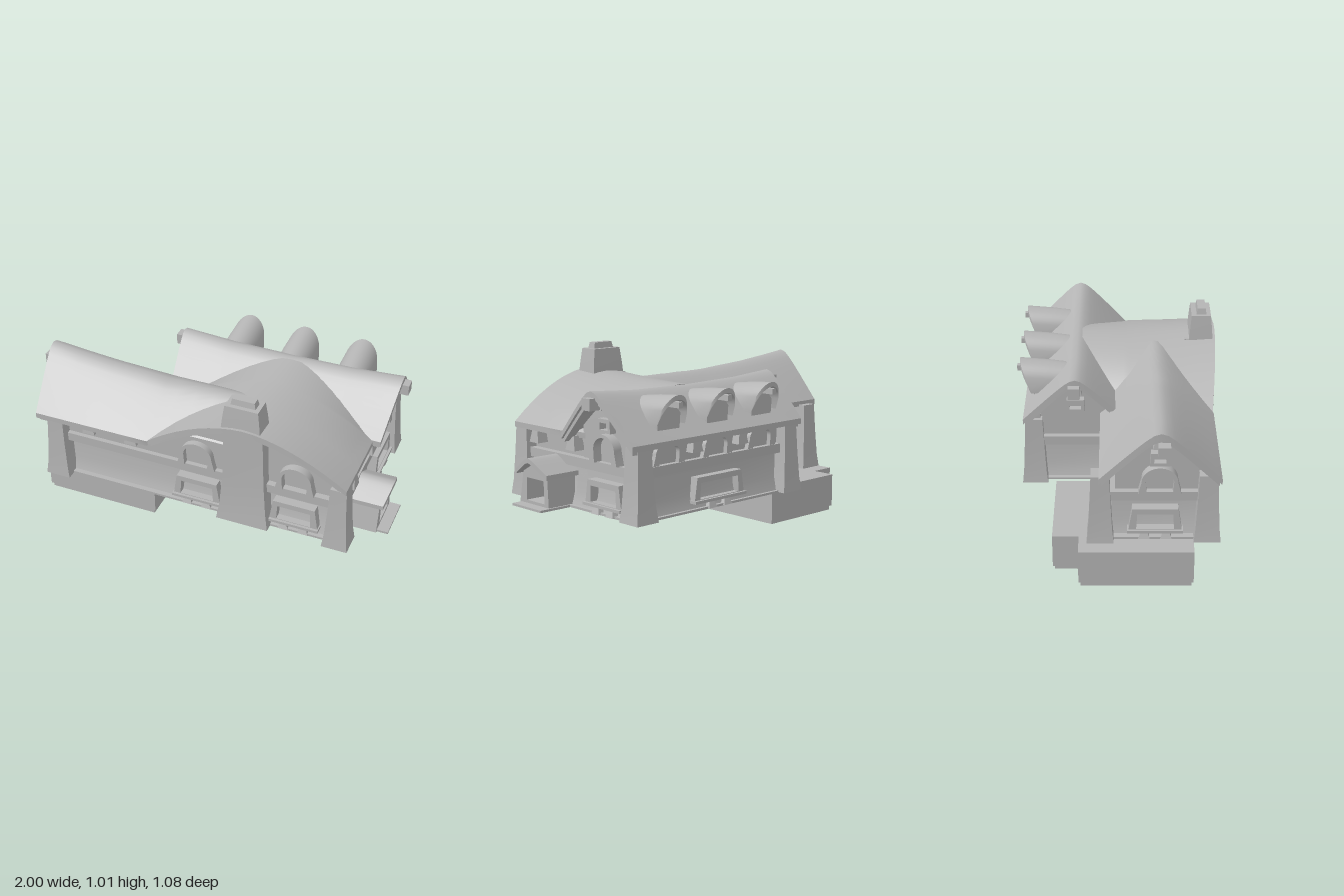
import * as THREE from 'three';
import { toCreasedNormals } from 'three/addons/utils/BufferGeometryUtils.js';

const stone = new THREE.MeshStandardMaterial({ color: 0xb4b4b4, side: THREE.DoubleSide });
stone.name = 'plain grey';

export function createModel() {
  const root = new THREE.Group();
  root.name = 'cottage';

  const add = (name, geo, parent = root) => {
    const m = new THREE.Mesh(geo, stone);
    m.name = name;
    parent.add(m);
    return m;
  };
  const box = (name, x0, x1, y0, y1, z0, z1, parent) =>
    add(name, new THREE.BoxGeometry(x1 - x0, y1 - y0, z1 - z0)
      .translate((x0 + x1) / 2, (y0 + y1) / 2, (z0 + z1) / 2), parent);

  // skin a list of equal rings and close both ends
  function loft(rings, crease = 0.6) {
    const n = rings[0].length, idx = [];
    for (let r = 0; r < rings.length - 1; r++)
      for (let i = 0; i < n; i++) {
        const a = r * n + i, b = r * n + (i + 1) % n;
        idx.push(a, b, b + n, a, b + n, a + n);
      }
    for (const o of [0, (rings.length - 1) * n])
      for (let i = 0; i < n / 2 - 1; i++)
        idx.push(o + i, o + n - 1 - i, o + n - 2 - i, o + i, o + n - 2 - i, o + i + 1);
    const g = new THREE.BufferGeometry();
    g.setAttribute('position', new THREE.Float32BufferAttribute(rings.flat(2), 3));
    g.setIndex(idx);
    return toCreasedNormals(g, crease);
  }

  // square post; levels are [y, half width, half depth]
  const taper = (name, cx, cz, levels, parent) => add(name, loft(levels.map(([y, w, d]) =>
    [[cx - w, y, cz - d], [cx - w, y, cz + d], [cx + w, y, cz + d], [cx + w, y, cz - d]])), parent);

  // roof fall from ridge (0) to eave (1): soft-ridged slopes, a bow, or a half round
  const A = 0.15, K = Math.sqrt(1 + A * A) - A;
  const pitched = s => (Math.sqrt(s * s + A * A) - A) / K;
  const bowed = s => Math.pow(Math.abs(s), 1.8);
  const round = s => 1 - Math.sqrt(Math.max(0, 1 - s * s));

  // curved roof shell; stations are [t, lift, width scale, front limit, ridge flare]
  function roof(name, o, stations) {
    const N = 18, { axis, c, hw, ridge, eave, fall, thick = 0.03 } = o;
    const rings = stations.map(([t, lift = 0, w = 1, lim = 1, flare = 0]) => {
      const outer = [], inner = [];
      for (let i = 0; i <= N; i++) {
        const s = -1 + (1 + lim) * i / N, f = fall(s);
        const u = c + s * hw * w, y = ridge - (ridge - eave) * f + lift * (1 - f);
        const e = t + flare * (1 - f);
        outer.push(axis === 'x' ? [e, y, u] : [u, y, e]);
        inner.unshift(axis === 'x' ? [e, y - thick, u] : [u, y - thick, e]);
      }
      return outer.concat(inner);
    });
    return add(name, loft(rings, 0.75), root);
  }

  // solid gabled storey below a roof
  function gableBody(name, o, halfBody, t0, t1, y0) {
    const pts = [new THREE.Vector2(-halfBody, y0)];
    for (let i = 0; i <= 12; i++) {
      const u = -halfBody + 2 * halfBody * i / 12;
      pts.push(new THREE.Vector2(u, o.ridge - (o.ridge - o.eave) * o.fall(u / o.hw) - 0.025));
    }
    pts.push(new THREE.Vector2(halfBody, y0));
    const g = new THREE.ExtrudeGeometry(new THREE.Shape(pts), { depth: t1 - t0, bevelEnabled: false });
    const m = add(name, g);
    if (o.axis === 'x') { m.rotation.y = Math.PI / 2; m.position.set(t0, 0, o.c); }
    else m.position.set(o.c, 0, t0);
  }

  const front = { axis: 'x', c: 0.205, hw: 0.3, ridge: 0.83, eave: 0.618, fall: pitched };
  const back = { axis: 'x', c: -0.225, hw: 0.275, ridge: 0.835, eave: 0.618, fall: pitched };
  const cross = { axis: 'z', c: 0.27, hw: 0.55, ridge: 0.835, eave: 0.618, fall: bowed };

  // roofs: the front wing is mitred where the broad cross gable meets it
  const valley = x => {
    const f = bowed(Math.min(1, (cross.c - x) / cross.hw));
    return Math.sqrt((A + K * f) ** 2 - A * A);
  };
  const frontStations = [[-0.94, 0.06, 1, 1, -0.03], [-0.8, 0.04], [-0.6, 0.02], [-0.4, 0.008], [-0.28, 0]];
  for (const x of [-0.2, -0.1, 0, 0.1, 0.2]) frontStations.push([x, 0, 1, valley(x)]);
  roof('frontWingRoof', front, frontStations);
  roof('backWingRoof', back, [[-0.355, 0.025, 1, 1, -0.02], [-0.1, 0.006], [0.25, 0], [0.6, 0.006], [0.86, 0.027, 1, 1, 0.03]]);
  roof('crossGableRoof', cross, [[0.5, 0.027, 1, 1, 0.035], [0.3, 0.01], [0.06, 0], [0.03, 0, 0.95], [-0.2, 0, 0.8]]);

  // heavy barge boards under the open gable ends
  const board = o => ({ ...o, thick: 0.025, hw: o.hw - 0.012, ridge: o.ridge - 0.027, eave: o.eave - 0.02 });
  roof('frontWingBargeBoard', board(front), [[-0.925, 0.055, 1, 1, -0.025], [-0.88, 0.05]]);
  for (const [a, b, f] of [[0.85, 0.8, 0.022], [-0.345, -0.31, -0.015]])
    roof('backWingBargeBoard', board(back), [[a, 0.024, 1, 1, f], [b, 0.02]]);
  roof('crossBargeBoard', board(cross), [[0.485, 0.024, 1, 1, 0.028], [0.45, 0.022]]);

  // upper storeys, battered lower walls and floor
  gableBody('frontWingUpperStorey', front, 0.22, -0.82, 0.3, 0.46);
  gableBody('backWingUpperStorey', back, 0.205, -0.28, 0.77, 0.46);
  gableBody('crossGableUpperStorey', cross, 0.49, -0.1, 0.415, 0.46);
  taper('frontWingLowerWall', -0.025, 0.185, [[0.225, 0.815, 0.25], [0.3, 0.79, 0.225], [0.46, 0.78, 0.215]]);
  taper('backWingLowerWall', 0.25, -0.19, [[0.225, 0.54, 0.265], [0.3, 0.515, 0.24], [0.46, 0.505, 0.23]]);
  box('frontFloor', -0.87, 0.81, 0.222, 0.234, -0.1, 0.46);
  box('backFloor', -0.31, 0.81, 0.222, 0.234, -0.47, -0.1);
  box('porchStep', 0.8, 1.0, 0.222, 0.234, 0.05, 0.29);
  box('backWallPlate', -0.3, 0.78, 0.58, 0.625, -0.455, -0.41);

  // floor bands around the house
  box('frontBand', -0.8, 0.78, 0.44, 0.49, 0.4, 0.45);
  box('leftBand', 0.75, 0.8, 0.44, 0.49, -0.42, 0.42);
  box('backBand', -0.3, 0.78, 0.44, 0.49, -0.46, -0.4);
  box('rightBackBand', -0.31, -0.26, 0.44, 0.49, -0.43, -0.03);
  box('rightFrontBand', -0.85, -0.8, 0.44, 0.49, -0.05, 0.44);
  box('rearFrontWingBand', -0.82, -0.28, 0.44, 0.49, -0.07, -0.02);

  // flared corner pillars
  for (const [x, z] of [[-0.835, 0.445], [0.775, 0.445], [-0.845, -0.09], [-0.28, -0.445], [0.775, -0.445]])
    taper('cornerPillar', x, z, [[0.225, 0.07, 0.068], [0.3, 0.06, 0.06], [0.45, 0.05, 0.052], [0.598, 0.044, 0.045]]);

  // chimney: broad breast on the gable, stack and pot above
  taper('chimneyBreast', 0.26, 0.43, [[0.225, 0.145, 0.08], [0.32, 0.13, 0.07], [0.5, 0.115, 0.062], [0.84, 0.105, 0.065]]);
  taper('chimneyStack', 0.255, 0.455, [[0.82, 0.108, 0.066], [0.9, 0.1, 0.06], [0.975, 0.09, 0.053]]);
  taper('chimneyPot', 0.255, 0.457, [[0.97, 0.068, 0.028], [1.008, 0.06, 0.022]]);

  // ridge pegs
  for (const [x, z] of [[-0.965, 0.22], [-0.38, -0.23], [0.895, -0.23]])
    box('ridgePeg', x - 0.035, x + 0.03, 0.77, 0.83, z - 0.03, z + 0.03);

  // wall faces: local x runs along the wall, local z points outwards
  const face = (name, x, z, turn) => {
    const g = new THREE.Group();
    g.name = name;
    g.position.set(x, 0, z);
    g.rotation.y = turn * Math.PI / 2;
    root.add(g);
    return g;
  };
  const shape = (pts, C = THREE.Shape) => new C(pts.map(p => new THREE.Vector2(...p)));
  const extrude = (s, depth) => new THREE.ExtrudeGeometry(s, { depth, bevelEnabled: false, curveSegments: 12 });

  // splayed picture window with sill and feet
  function lowWindow(f, x, hw = 0.125) {
    const s = shape([[-hw - 0.01, 0.265], [hw + 0.01, 0.265], [hw - 0.01, 0.395], [-hw + 0.01, 0.395]]);
    s.holes.push(shape([[-hw + 0.03, 0.28], [-hw + 0.035, 0.365], [hw - 0.035, 0.365], [hw - 0.03, 0.28]], THREE.Path));
    add('windowFrame', extrude(s, 0.075), f).position.set(x, 0, -0.03);
    box('windowSill', x - hw - 0.015, x + hw + 0.015, 0.262, 0.277, -0.03, 0.06, f);
    for (const d of [-0.055, 0.055])
      taper('sillFoot', x + d, 0.01, [[0.225, 0.03, 0.045], [0.265, 0.013, 0.03]], f);
  }
  // round-headed surround with thick legs
  function archWindow(f, x, height = 1, depth = 0.05) {
    const s = new THREE.Shape();
    s.moveTo(-0.107, 0); s.lineTo(-0.09, 0.07);
    s.absellipse(0, 0.07, 0.09, 0.08, Math.PI, 0, true);
    s.lineTo(0.107, 0); s.lineTo(0.065, 0); s.lineTo(0.07, 0.07);
    s.absellipse(0, 0.07, 0.07, 0.063, 0, Math.PI, false);
    s.lineTo(-0.065, 0);
    const m = add('archSurround', toCreasedNormals(extrude(s, depth), 0.6), f);
    m.position.set(x, 0.488, 0);
    m.scale.y = height;
  }
  const corbel = (f, x, y = 0.53, z = 0.02) =>
    taper('eaveCorbel', x, z, [[y, 0.037, 0.035], [y + 0.075, 0.02, 0.025]], f);
  // small window and bracket high in a gable
  function gablePeak(f) {
    const s = shape([[-0.05, 0.645], [0.05, 0.645], [0.045, 0.715], [-0.045, 0.715]]);
    s.holes.push(shape([[-0.03, 0.66], [-0.028, 0.695], [0.028, 0.695], [0.03, 0.66]], THREE.Path));
    add('gableWindow', extrude(s, 0.04), f);
    corbel(f, 0, 0.765, 0.05);
  }

  const frontFace = face('frontDetails', 0, 0.41, 0);
  for (const x of [-0.02, 0.53]) { lowWindow(frontFace, x); archWindow(frontFace, x); }
  for (const x of [-0.65, -0.4]) corbel(frontFace, x);

  const leftFace = face('leftGableDetails', 0.77, -0.225, 1);
  lowWindow(leftFace, -0.005, 0.13);
  archWindow(leftFace, 0);
  gablePeak(leftFace);
  for (const x of [-0.555, -0.25]) corbel(leftFace, x, 0.525);

  const rightFace = face('rightGableDetails', -0.82, 0.205, 3);
  archWindow(rightFace, 0);
  gablePeak(rightFace);
  lowWindow(rightFace, -0.02);
  gablePeak(face('backWingRightDetails', -0.28, -0.225, 3));

  const backFace = face('backDetails', 0.24, -0.425, 2);
  lowWindow(backFace, 0, 0.17);
  for (const x of [-0.34, 0, 0.33]) archWindow(backFace, x, 0.78, 0.03);
  for (const x of [-0.165, 0.165]) corbel(backFace, x);
  const rearFace = face('rearFrontWingDetails', -0.55, -0.03, 2);
  for (const x of [-0.12, 0.12]) corbel(rearFace, x, 0.52);

  // round hooded dormers along the back
  for (const x of [-0.09, 0.24, 0.58]) {
    roof('dormerHood', { axis: 'z', c: x, hw: 0.097, ridge: 0.828, eave: 0.71, fall: round, thick: 0.025 },
      [[-0.465, 0.016, 1, 1, -0.06], [-0.38, 0.004], [-0.26, -0.012, 0.95]]);
    taper('dormerBody', x, -0.36, [[0.62, 0.07, 0.09], [0.74, 0.08, 0.09], [0.8, 0.03, 0.09]]);
    box('dormerPeg', x - 0.014, x + 0.014, 0.78, 0.81, -0.54, -0.42);
  }

  // porch with an open doorway
  const porch = face('porch', 0.75, 0.17, 1);
  const walls = shape([[-0.135, 0.225], [0.11, 0.225], [0.1, 0.4], [0, 0.455], [-0.1, 0.4]]);
  walls.holes.push(shape([[-0.075, 0.25], [-0.07, 0.37], [0.07, 0.37], [0.075, 0.25]], THREE.Path));
  add('porchWalls', extrude(walls, 0.19), porch);
  roof('porchRoof', { axis: 'x', c: 0.172, hw: 0.13, ridge: 0.485, eave: 0.41, fall: pitched, thick: 0.025 },
    [[0.74], [0.86], [0.965, 0, 1, 1, 0.02]]);

  // cellar block with a notched corner
  const plan = k => shape([[-0.97 + k, -0.38 + k], [-0.31 - k, -0.38 + k], [-0.31 - k, 0.335 - k],
    [-0.83 + k, 0.335 - k], [-0.83 + k, 0.2 - k], [-0.97 + k, 0.2 - k]]);
  for (const [name, k, y0, y1] of [['cellarBlock', 0, 0.025, 0.21], ['cellarFooting', 0.01, 0, 0.025]]) {
    const m = add(name, extrude(plan(k), y1 - y0));
    m.rotation.x = -Math.PI / 2;
    m.position.y = y0;
  }
  box('cellarHatch', -0.48, -0.31, 0.21, 0.222, 0.26, 0.375);
  return root;
}
